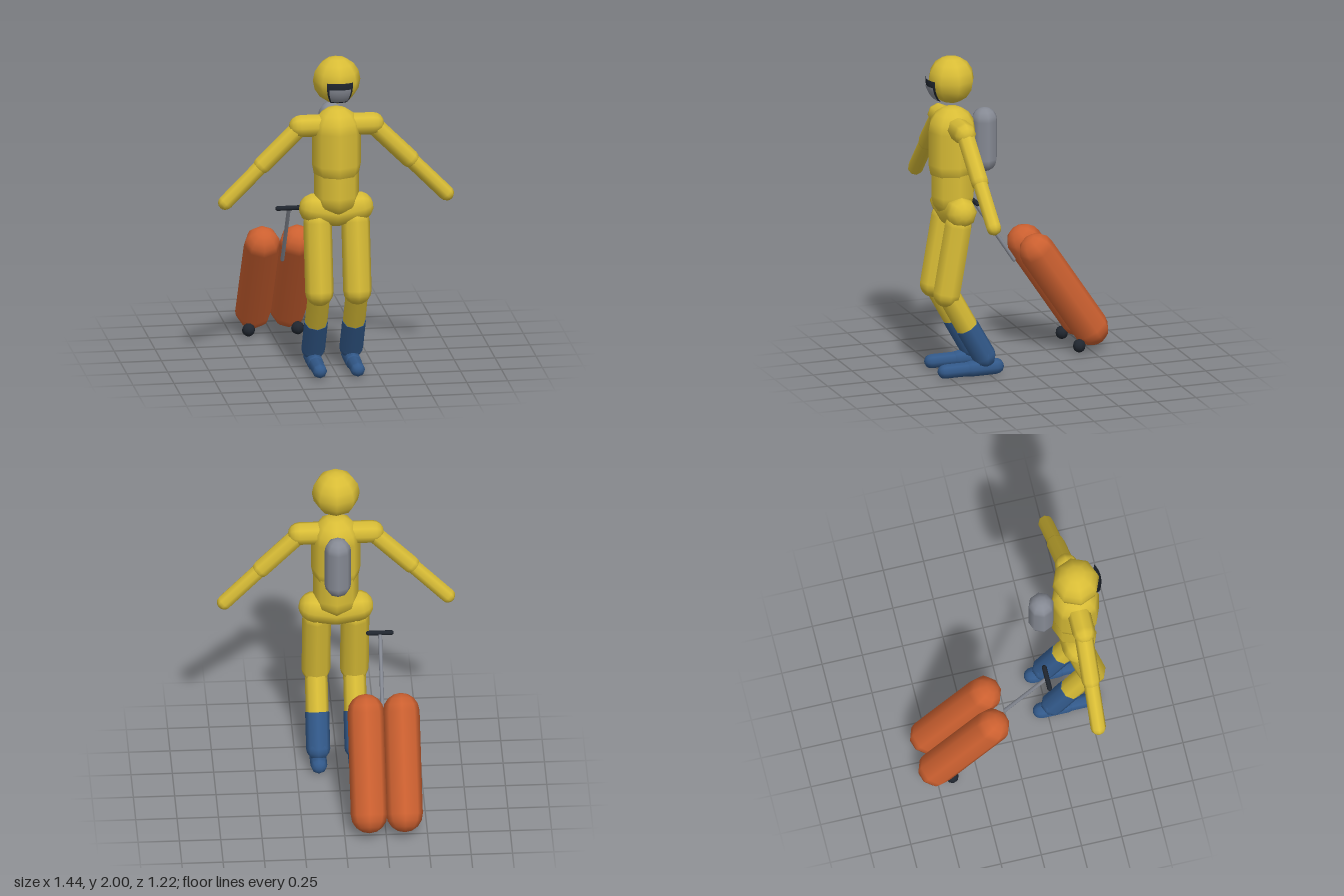
import * as THREE from 'three';

const mat = (name, color, side = THREE.FrontSide) => {
  const m = new THREE.MeshStandardMaterial({ color, side });
  m.name = name;
  return m;
};

export function createModel() {
  const model = new THREE.Group();
  model.name = 'travellerWithCase';

  const suit = mat('suitYellow', 0xd9bd36);
  const boot = mat('bootBlue', 0x32598a);
  const metal = mat('metalGrey', 0x868a94);
  const shell = mat('caseOrange', 0xcc6030);
  const dark = mat('darkTrim', 0x20262f);
  const visorDark = dark.clone();
  visorDark.side = THREE.DoubleSide;
  const up = new THREE.Vector3(0, 1, 0);

  const add = (name, geometry, material, pos, dir) => {
    const mesh = new THREE.Mesh(geometry, material);
    mesh.name = name;
    mesh.position.copy(pos);
    if (dir) mesh.quaternion.setFromUnitVectors(up, dir.clone().normalize());
    model.add(mesh);
    return mesh;
  };
  // A rounded limb between the centres of its two end caps
  const limb = (name, from, to, r, material) => {
    const a = new THREE.Vector3(...from), b = new THREE.Vector3(...to);
    const dir = a.clone().sub(b);
    add(name, new THREE.CapsuleGeometry(r, dir.length(), 4, 8), material, a.add(b).multiplyScalar(0.5), dir);
  };
  const ball = (name, at, r, material) =>
    add(name, new THREE.SphereGeometry(r, 8, 8), material, new THREE.Vector3(...at));

  // Head with a curved face plate
  const headAt = [0, 1.855, 0.455];
  ball('head', headAt, 0.145, suit);
  const plate = (name, r, half, top, bottom, material) => {
    const t0 = Math.acos(top / r), t1 = Math.acos(bottom / r);
    add(name, new THREE.SphereGeometry(r, 6, 5, Math.PI / 2 - half, half * 2, t0, t1 - t0),
      material, new THREE.Vector3(...headAt));
  };
  plate('visorFrame', 0.155, 0.54, 0.015, -0.12, visorDark);
  plate('visorGlass', 0.159, 0.44, -0.025, -0.11, metal);

  // Torso and air tank
  limb('chest', [0, 1.535, 0.45], [0, 1.33, 0.45], 0.15, suit);
  limb('abdomen', [0, 1.3, 0.445], [0, 1.13, 0.445], 0.137, suit);
  limb('backTank', [0, 1.575, 0.24], [0, 1.335, 0.24], 0.08, metal);

  // Arms and legs, mirrored
  for (const s of [1, -1]) {
    const side = s > 0 ? 'left' : 'right';
    limb(side + 'Shoulder', [s * 0.08, 1.57, 0.45], [s * 0.22, 1.57, 0.45], 0.07, suit);
    limb(side + 'UpperArm', [s * 0.22, 1.565, 0.447], [s * 0.45, 1.335, 0.44], 0.056, suit);
    limb(side + 'Forearm', [s * 0.45, 1.335, 0.44], [s * 0.674, 1.106, 0.432], 0.047, suit);

    limb(side + 'Hip', [0, 1.025, 0.44], [s * 0.13, 1.047, 0.44], 0.097, suit);
    limb(side + 'Thigh', [s * 0.116, 0.96, 0.453], [s * 0.116, 0.545, 0.525], 0.087, suit);
    const x = s * 0.116;
    limb(side + 'Shin', [x, 0.545, 0.52], [x, 0.3, 0.385], 0.069, suit);

    // Boot shaft, ankle and two-part foot
    const top = new THREE.Vector3(x, 0.32, 0.395), ankle = new THREE.Vector3(x, 0.125, 0.285);
    const dir = top.clone().sub(ankle);
    add(side + 'BootShaft', new THREE.CylinderGeometry(0.073, 0.073, dir.length(), 8), boot,
      top.clone().add(ankle).multiplyScalar(0.5), dir);
    ball(side + 'Ankle', [x, 0.125, 0.285], 0.073, boot);
    limb(side + 'Heel', [x, 0.053, 0.212], [x, 0.053, 0.37], 0.051, boot);
    limb(side + 'Toe', [x, 0.052, 0.36], [x, 0.052, 0.537], 0.045, boot);

    // One half of the trailing case with its wheel
    limb(side + 'CaseShell', [-0.254 + s * 0.107, 0.662, -0.155], [-0.254 + s * 0.107, 0.147, -0.5], 0.111, shell);
    ball(side + 'CaseWheel', [-0.254 + s * 0.15, 0.052, -0.41], 0.04, dark);
  }

  // Pull handle
  limb('handleRod', [-0.254, 0.99, 0.215], [-0.254, 0.592, -0.045], 0.012, metal);
  limb('handleGrip', [-0.322, 0.99, 0.215], [-0.184, 0.99, 0.215], 0.015, dark);
  return model;
}
